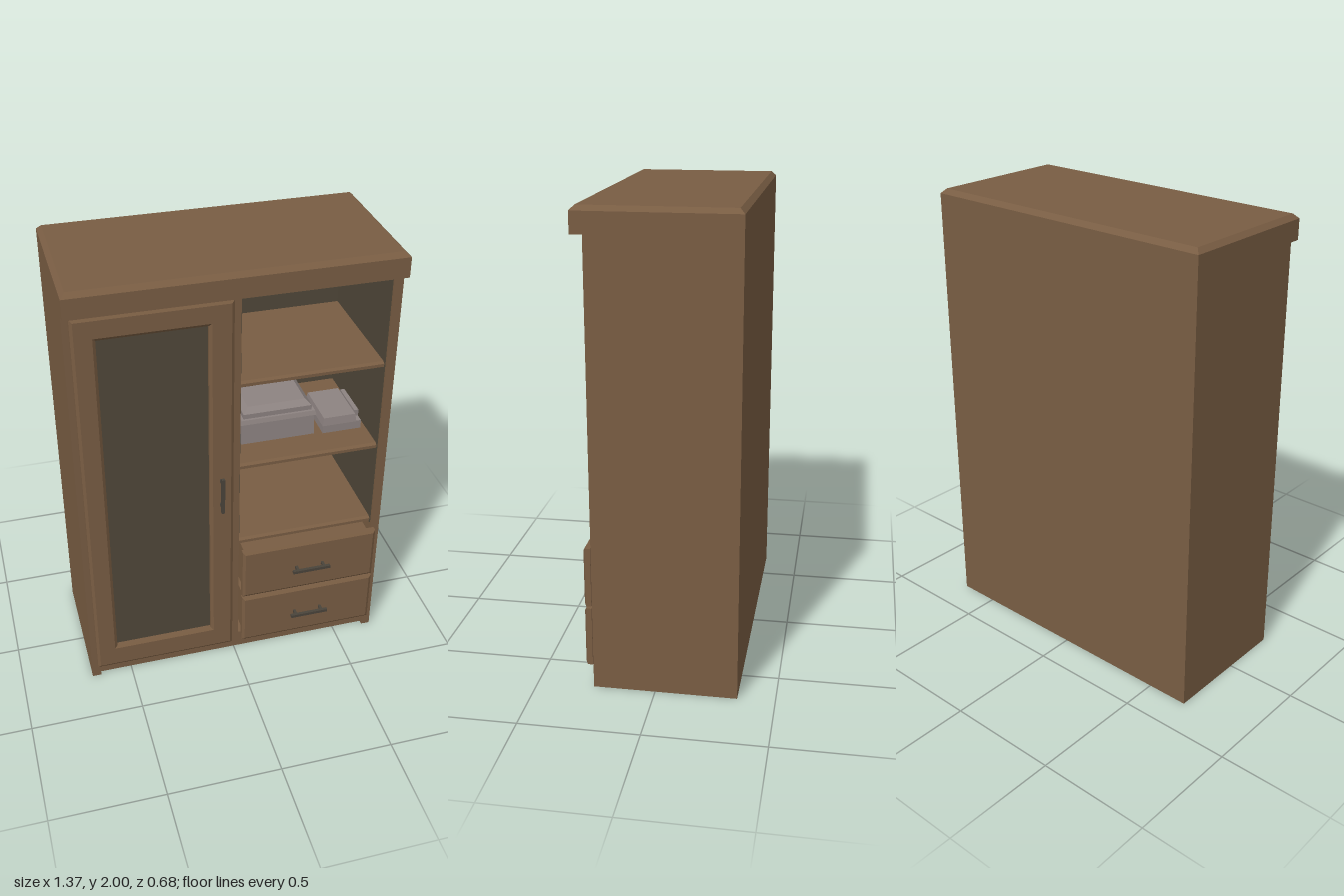
import * as THREE from 'three';

const mat = (name, color) => {
  const m = new THREE.MeshStandardMaterial({ color });
  m.name = name;
  return m;
};

export function createModel() {
  const wood = mat('brown wood', 0x795d43);
  const dark = mat('dark lining and glass', 0x504839);
  const metal = mat('dark metal', 0x4a443b);
  const cloth = mat('grey storage', 0x8d8381);
  const root = new THREE.Group();
  root.name = 'wardrobe';

  const add = (name, geo, material, parent = root) => {
    const mesh = new THREE.Mesh(geo, material);
    mesh.name = name;
    parent.add(mesh);
    return mesh;
  };

  // Box given by its limits; the front (+z) or top (+y) face can be inset
  const block = (name, [x0, x1], [y0, y1], [z0, z1], material, inset = null, parent = root) => {
    const geo = new THREE.BoxGeometry(x1 - x0, y1 - y0, z1 - z0);
    if (inset) {
      const p = geo.attributes.position;
      const { axis, by } = inset;
      for (let i = 0; i < p.count; i++) {
        if (p.getComponent(i, axis) <= 0) continue;
        for (let k = 0; k < 3; k++) {
          if (k !== axis) p.setComponent(i, k, p.getComponent(i, k) - Math.sign(p.getComponent(i, k)) * by[k]);
        }
      }
      geo.computeVertexNormals();
    }
    geo.translate((x0 + x1) / 2, (y0 + y1) / 2, (z0 + z1) / 2);
    return add(name, geo, material, parent);
  };
  const topInset = (a) => ({ axis: 1, by: [a, 0, a] });

  // Panel with bevelled edges and an optional opening, z from 0.262 to 0.30
  const trace = (path, [x0, x1], [y0, y1]) => {
    path.moveTo(x0, y0);
    path.lineTo(x1, y0);
    path.lineTo(x1, y1);
    path.lineTo(x0, y1);
    path.closePath();
    return path;
  };
  const panel = (name, xs, ys, hole, parent) => {
    const shape = trace(new THREE.Shape(), xs, ys);
    if (hole) shape.holes.push(trace(new THREE.Path(), ...hole));
    const geo = new THREE.ExtrudeGeometry(shape, {
      depth: 0.022, bevelEnabled: true, bevelThickness: 0.008,
      bevelSize: 0.012, bevelOffset: -0.012, bevelSegments: 1,
    });
    geo.translate(0, 0, 0.27);
    return add(name, geo, wood, parent);
  };

  // Bar handle on two posts
  const handle = (name, x, y, vertical) => {
    const g = new THREE.Group();
    g.name = name;
    const bar = add('bar', new THREE.BoxGeometry(0.176, 0.014, 0.014), metal, g);
    bar.position.z = 0.035;
    for (const s of [-1, 1]) {
      const post = add('post', new THREE.BoxGeometry(0.012, 0.012, 0.036), metal, g);
      post.position.set(s * 0.062, 0, 0.016);
    }
    g.position.set(x, y, 0.298);
    if (vertical) g.rotation.z = Math.PI / 2;
    root.add(g);
  };

  // Carcass
  const depth = [-0.343, 0.26];
  for (const s of [-1, 1]) {
    block('sidePanel', s < 0 ? [-0.685, -0.645] : [0.645, 0.685], [0, 1.9], depth, wood);
  }
  block('backPanel', [-0.645, 0.645], [0, 1.9], [-0.343, -0.325], wood);
  block('plinth', [-0.645, 0.645], [0, 0.085], [-0.325, 0.24], wood);
  block('divider', [-0.015, 0.015], [0.085, 1.9], [-0.325, 0.26], wood);
  block('crown', [-0.685, 0.685], [1.893, 1.98], [-0.343, 0.31], wood);
  block('crownBevel', [-0.685, 0.685], [1.98, 2], [-0.343, 0.31], wood, topInset(0.02));

  // Dark lining of the open bay
  block('backLining', [0.015, 0.645], [0.63, 1.893], [-0.325, -0.32], dark);
  block('dividerLining', [0.015, 0.019], [0.63, 1.893], [-0.32, 0.25], dark);
  block('sideLining', [0.641, 0.645], [0.63, 1.893], [-0.32, 0.25], dark);

  // Shelves with a bevelled front edge
  for (const y of [0.66, 1.068, 1.48]) {
    block('shelf', [0.015, 0.645], [y - 0.03, y], [-0.32, 0.235], wood);
    block('shelfNose', [0.015, 0.645], [y - 0.03, y], [0.235, 0.247], wood, { axis: 2, by: [0, 0.008, 0] });
  }

  // Glazed door
  const door = new THREE.Group();
  door.name = 'door';
  root.add(door);
  panel('doorFrame', [-0.66, -0.022], [0.085, 1.885], [[-0.565, -0.125], [0.2, 1.785]], door);
  block('doorGlass', [-0.58, -0.11], [0.185, 1.8], [0.268, 0.276], dark, null, door);
  handle('doorHandle', -0.078, 0.985, true);

  // Drawers
  for (const y of [0.085, 0.355]) {
    panel('drawerFront', [0.025, 0.655], [y, y + 0.26]);
    block('drawerBox', [0.04, 0.63], [y + 0.02, y + 0.24], [-0.28, 0.265], wood);
    handle('drawerHandle', 0.34, y + 0.13, false);
  }

  // Large storage box with a stepped lid
  const large = new THREE.Group();
  large.name = 'largeBox';
  root.add(large);
  block('base', [0.068, 0.402], [1.068, 1.17], [-0.2, 0.1], cloth, topInset(0.004), large);
  block('rim', [0.062, 0.408], [1.17, 1.19], [-0.206, 0.106], cloth, topInset(0.006), large);
  block('lid', [0.08, 0.39], [1.19, 1.212], [-0.188, 0.088], cloth, null, large);
  block('lidTop', [0.08, 0.39], [1.212, 1.235], [-0.188, 0.088], cloth, topInset(0.025), large);

  // Small storage box
  const small = new THREE.Group();
  small.name = 'smallBox';
  root.add(small);
  block('base', [0.44, 0.618], [1.068, 1.108], [-0.12, 0.11], cloth, null, small);
  block('lid', [0.437, 0.595], [1.108, 1.145], [-0.12, 0.114], cloth, topInset(0.006), small);
  block('clasp', [0.595, 0.615], [1.115, 1.145], [-0.1, 0.08], cloth, null, small);

  return root;
}
